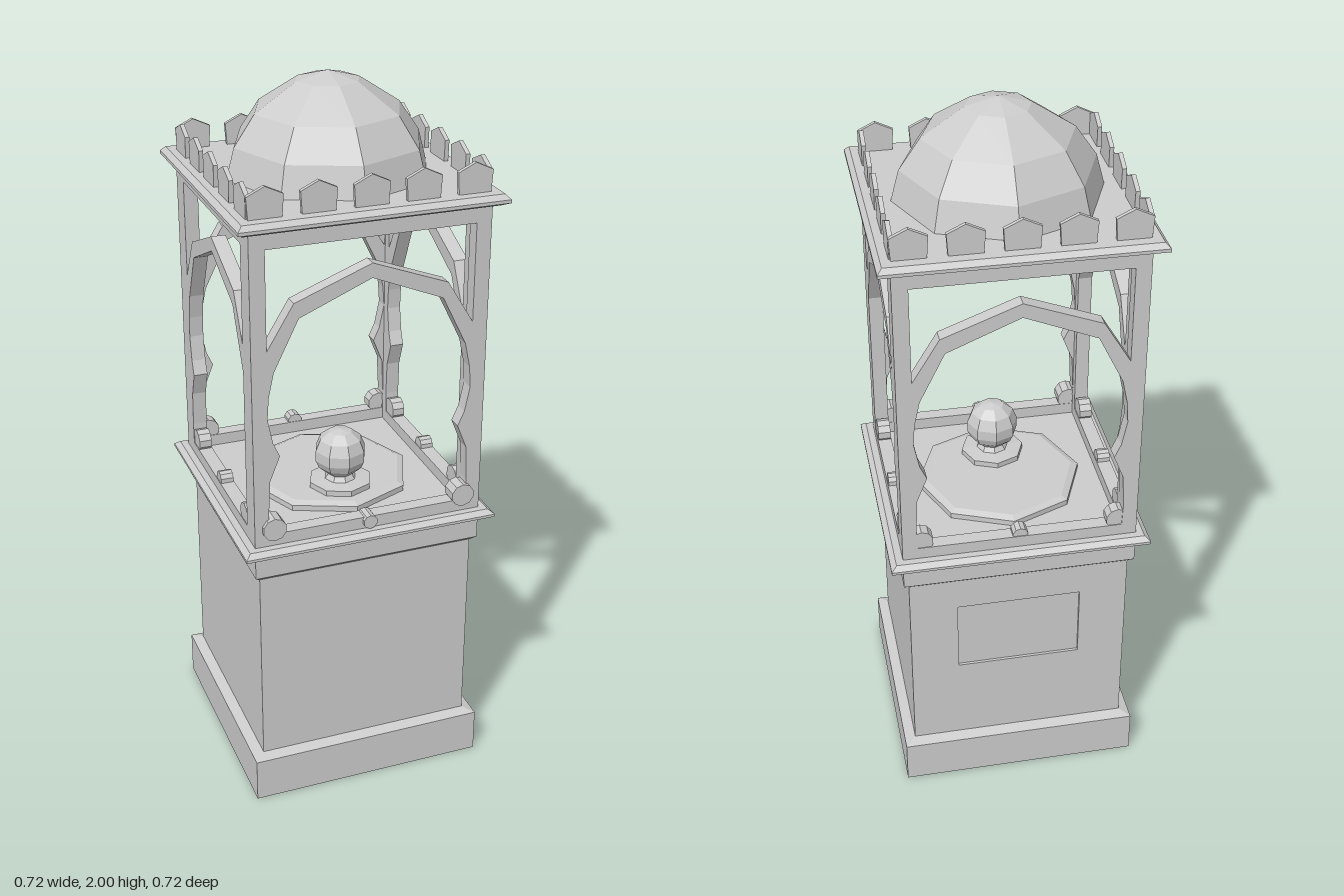
import * as THREE from 'three';

const V = (x, y) => new THREE.Vector2(x, y);
const stone = new THREE.MeshStandardMaterial({ color: 0xcccccc });
stone.name = 'pale stone';

// Mesh with faceted normals
function add(parent, name, geometry, x = 0, y = 0, z = 0, ry = 0) {
  const g = geometry.index ? geometry.toNonIndexed() : geometry;
  g.computeVertexNormals();
  const mesh = new THREE.Mesh(g, stone);
  mesh.name = name;
  mesh.position.set(x, y, z);
  mesh.rotation.y = ry;
  parent.add(mesh);
  return mesh;
}

// Square moulding from a half-width / height profile
function squareLathe(profile) {
  return new THREE.LatheGeometry(profile.map(([r, y]) => V(r * Math.SQRT2, y)), 4, Math.PI / 4);
}

function octLathe(profile) {
  return new THREE.LatheGeometry(profile.map(([r, y]) => V(r, y)), 8);
}

function extrude(shape, depth) {
  return new THREE.ExtrudeGeometry(shape, { depth, bevelEnabled: false });
}

function rect(x0, y0, x1, y1) {
  return [V(x0, y0), V(x1, y0), V(x1, y1), V(x0, y1)];
}

// Pierced arch wall; s scales the opening, straightSide (+1, -1 or 0) has a plain jamb
function archPanel(half, s, straightSide) {
  const shape = new THREE.Shape(rect(-half, 0.82, half, 1.72));
  const post = 0.283 * s;
  shape.holes.push(new THREE.Path([
    V(-post, 1.66), V(-post, 1.39), V(-0.21 * s, 1.51), V(0, 1.59),
    V(0.21 * s, 1.51), V(post, 1.39), V(post, 1.66),
  ]));
  const wavy = [[0.283, 0.86], [0.285, 0.92], [0.28, 1.02], [0.252, 1.09], [0.27, 1.13],
    [0.284, 1.2], [0.28, 1.26], [0.265, 1.33], [0.197, 1.468]];
  const plain = [[0.283, 0.86], [0.283, 1.31], [0.197, 1.468]];
  const side = (sign) => (straightSide === sign ? plain : wavy).map(([x, y]) => V(sign * x * s, y));
  shape.holes.push(new THREE.Path([...side(1), V(0, 1.55), ...side(-1).reverse()]));
  return extrude(shape, 0.04);
}

// Round boss with its axis along z, or along x when turned
function boss(parent, r, depth, x, y, z, alongX) {
  const g = new THREE.CylinderGeometry(r, r, depth, 10).rotateX(Math.PI / 2);
  add(parent, 'boss', g, x, y, z, alongX ? Math.PI / 2 : 0);
}

export function createModel() {
  const model = new THREE.Group();
  model.name = 'domedKiosk';

  // Pedestal
  add(model, 'plinth', squareLathe([[0, 0], [0.34, 0], [0.34, 0.128], [0.31, 0.138], [0, 0.138]]));
  add(model, 'pedestalBody', new THREE.BoxGeometry(0.62, 0.6, 0.612), 0, 0.43, 0.004);
  const back = new THREE.Shape(rect(-0.31, 0.13, 0.31, 0.73));
  back.holes.push(new THREE.Path(rect(-0.175, 0.4, 0.175, 0.62)));
  add(model, 'recessedBackPanel', extrude(back, 0.008), 0, 0, -0.31);
  add(model, 'pedestalCornice', squareLathe([
    [0, 0.718], [0.312, 0.718], [0.325, 0.73], [0.325, 0.79], [0.342, 0.796],
    [0.36, 0.806], [0.36, 0.814], [0.345, 0.826], [0, 0.826],
  ]));

  // Octagonal tray with a ball ornament
  add(model, 'tray', octLathe([[0.235, 0.826], [0.235, 0.842], [0.215, 0.85], [0, 0.85]]));
  add(model, 'ballOrnament', octLathe([
    [0.09, 0.845], [0.09, 0.866], [0.045, 0.87], [0.036, 0.884], [0.063, 0.908],
    [0.073, 0.93], [0.073, 0.96], [0.06, 0.992], [0.034, 1.013], [0, 1.02],
  ]), 0, 0, 0.1);

  // Four arch walls
  add(model, 'frontArch', archPanel(0.325, 1, 0), 0, 0, 0.285);
  add(model, 'backArch', archPanel(0.325, 1, 0), 0, 0, -0.325);
  for (const x of [0.285, -0.325]) {
    add(model, 'sideArch', archPanel(0.324, 0.91, -1), x, 0, 0, Math.PI / 2);
  }

  // Bosses along the sills
  for (const s of [-1, 1]) {
    boss(model, 0.033, 0.05, s * 0.272, 0.878, 0.311);
    boss(model, 0.033, 0.036, s * 0.272, 0.878, -0.305);
    boss(model, 0.022, 0.036, s * 0.305, 0.866, -0.01, true);
    for (const z of [-0.235, 0.225]) boss(model, 0.033, 0.036, s * 0.305, 0.878, z, true);
  }
  boss(model, 0.02, 0.05, 0, 0.848, 0.311);
  boss(model, 0.022, 0.036, 0, 0.862, -0.305);

  // Roof
  add(model, 'roofCornice', squareLathe([
    [0, 1.705], [0.34, 1.705], [0.36, 1.715], [0.36, 1.724], [0.347, 1.737], [0, 1.737],
  ]));
  add(model, 'dome', octLathe([
    [0.28, 1.735], [0.257, 1.82], [0.2, 1.902], [0.086, 1.977], [0, 2],
  ]));

  // Pointed merlons, five to a side
  const merlon = new THREE.Shape([
    V(-0.044, 1.735), V(0.044, 1.735), V(0.048, 1.795), V(0, 1.818), V(-0.048, 1.795),
  ]);
  for (const s of [-1, 1]) {
    for (let i = -2; i <= 2; i++) {
      add(model, 'merlon', extrude(merlon, 0.012), i * 0.139, 0, s * 0.312 - 0.006);
      add(model, 'merlon', extrude(merlon, 0.012), s * 0.32 - 0.006, 0, i * 0.132, Math.PI / 2);
    }
  }
  return model;
}
